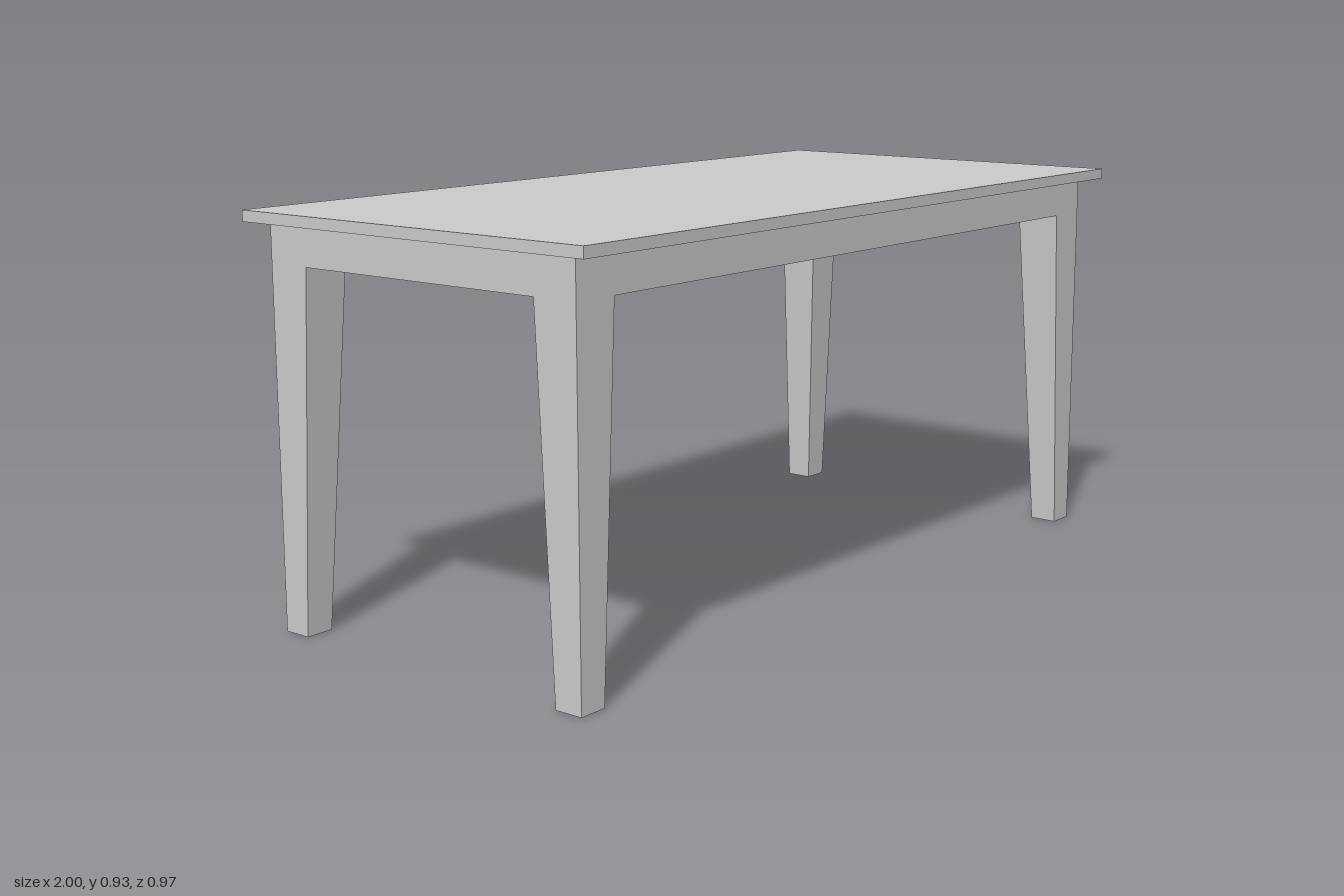
import * as THREE from 'three';

const material = new THREE.MeshStandardMaterial({ color: 0xcccccc, flatShading: true });

const TOP_Y = 0.928, SLAB_Y = 0.903, APRON_Y = 0.815;
const OUTER_X = 0.967, OUTER_Z = 0.434; // outer faces of apron and legs
const LEG_TOP = 0.109, LEG_FOOT = 0.068; // square leg widths

function box(name, w, h, d, x, y, z) {
  const mesh = new THREE.Mesh(new THREE.BoxGeometry(w, h, d), material);
  mesh.name = name;
  mesh.position.set(x, y, z);
  return mesh;
}

// Leg with straight outer faces; only the two inner faces taper to the foot
function leg(name, sx, sz) {
  const geometry = new THREE.BoxGeometry(1, 1, 1);
  const p = geometry.attributes.position;
  for (let i = 0; i < p.count; i++) {
    const top = p.getY(i) > 0;
    const width = top ? LEG_TOP : LEG_FOOT;
    const x = p.getX(i) * sx > 0 ? OUTER_X : OUTER_X - width;
    const z = p.getZ(i) * sz > 0 ? OUTER_Z : OUTER_Z - width;
    p.setXYZ(i, sx * x, top ? APRON_Y : 0, sz * z);
  }
  geometry.computeVertexNormals();
  const mesh = new THREE.Mesh(geometry, material);
  mesh.name = name;
  return mesh;
}

export function createModel() {
  const table = new THREE.Group();
  table.name = 'table';

  // Thin overhanging top
  table.add(box('tableTop', 2, TOP_Y - SLAB_Y, 0.968, 0, (TOP_Y + SLAB_Y) / 2, 0));

  // Solid apron block under the top
  table.add(box('apron', OUTER_X * 2, SLAB_Y - APRON_Y, OUTER_Z * 2, 0, (SLAB_Y + APRON_Y) / 2, 0));

  // Four mirrored legs
  for (const [sx, side] of [[1, 'Left'], [-1, 'Right']]) {
    for (const [sz, end] of [[1, 'front'], [-1, 'back']]) {
      table.add(leg(`${end}${side}Leg`, sx, sz));
    }
  }
  return table;
}
